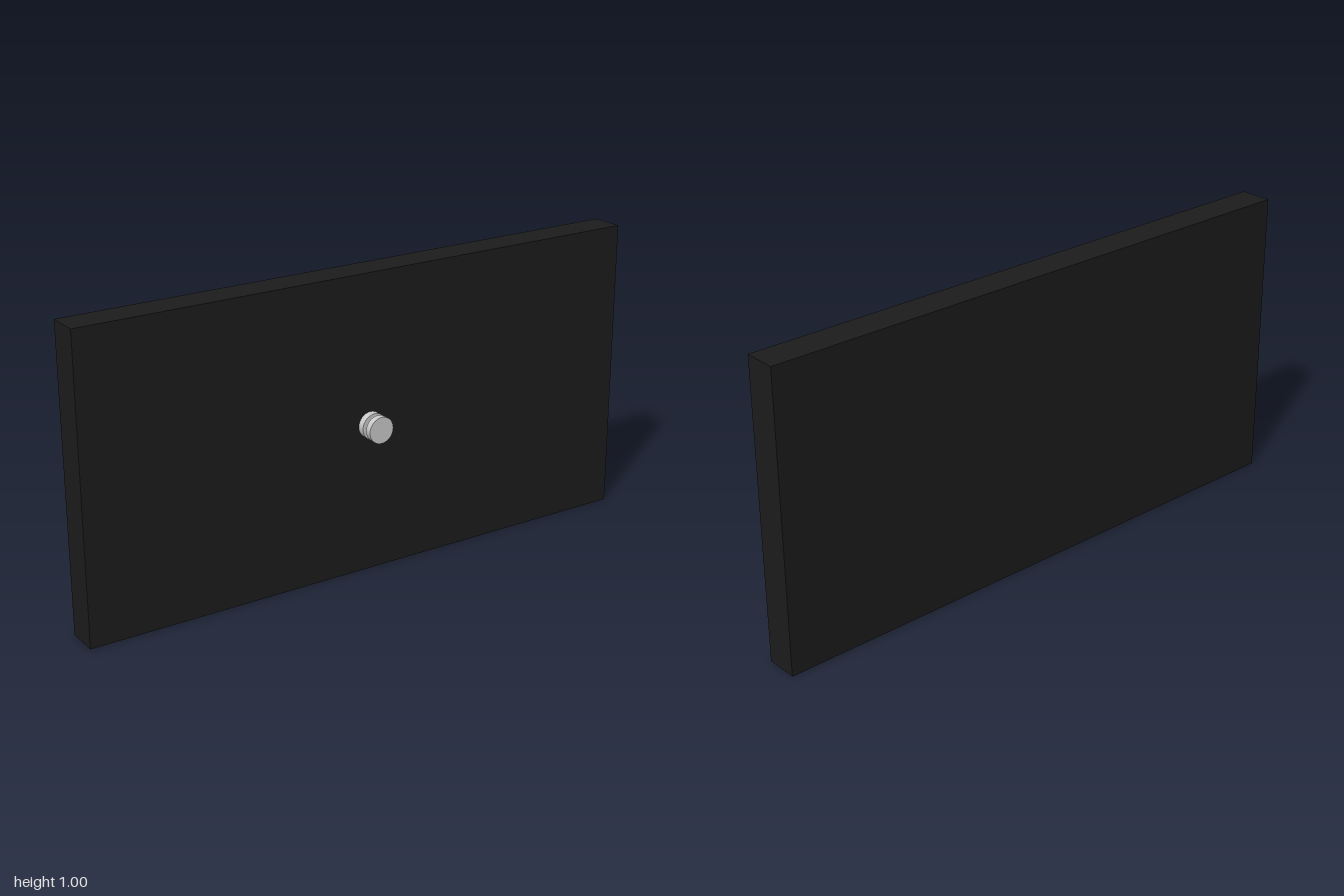
import * as THREE from 'three';

const WIDTH = 2, HEIGHT = 0.996, BACK = -0.086, FACE = 0.023;

export function createModel() {
  const model = new THREE.Group();
  const black = new THREE.MeshStandardMaterial({ color: 0x1c1c1c });
  const grey = new THREE.MeshStandardMaterial({ color: 0xcccccc });

  // Flat slab
  const panel = new THREE.Mesh(new THREE.BoxGeometry(WIDTH, HEIGHT, FACE - BACK), black);
  panel.name = 'panel';
  panel.position.set(0, HEIGHT / 2, (FACE + BACK) / 2);
  model.add(panel);

  // Spool-shaped knob: two discs joined by a thin neck, pointing to +z
  const knob = new THREE.Group();
  knob.name = 'knob';
  knob.position.y = HEIGHT / 2;
  const addDisc = (name, radius, z0, z1) => {
    const geometry = new THREE.CylinderGeometry(radius, radius, z1 - z0, 32).rotateX(Math.PI / 2);
    const disc = new THREE.Mesh(geometry, grey);
    disc.name = name;
    disc.position.z = (z0 + z1) / 2;
    knob.add(disc);
  };
  addDisc('knobBase', 0.044, FACE, 0.047);
  addDisc('knobNeck', 0.021, 0.047, 0.064);
  addDisc('knobCap', 0.044, 0.064, 0.086);
  model.add(knob);

  return model;
}
